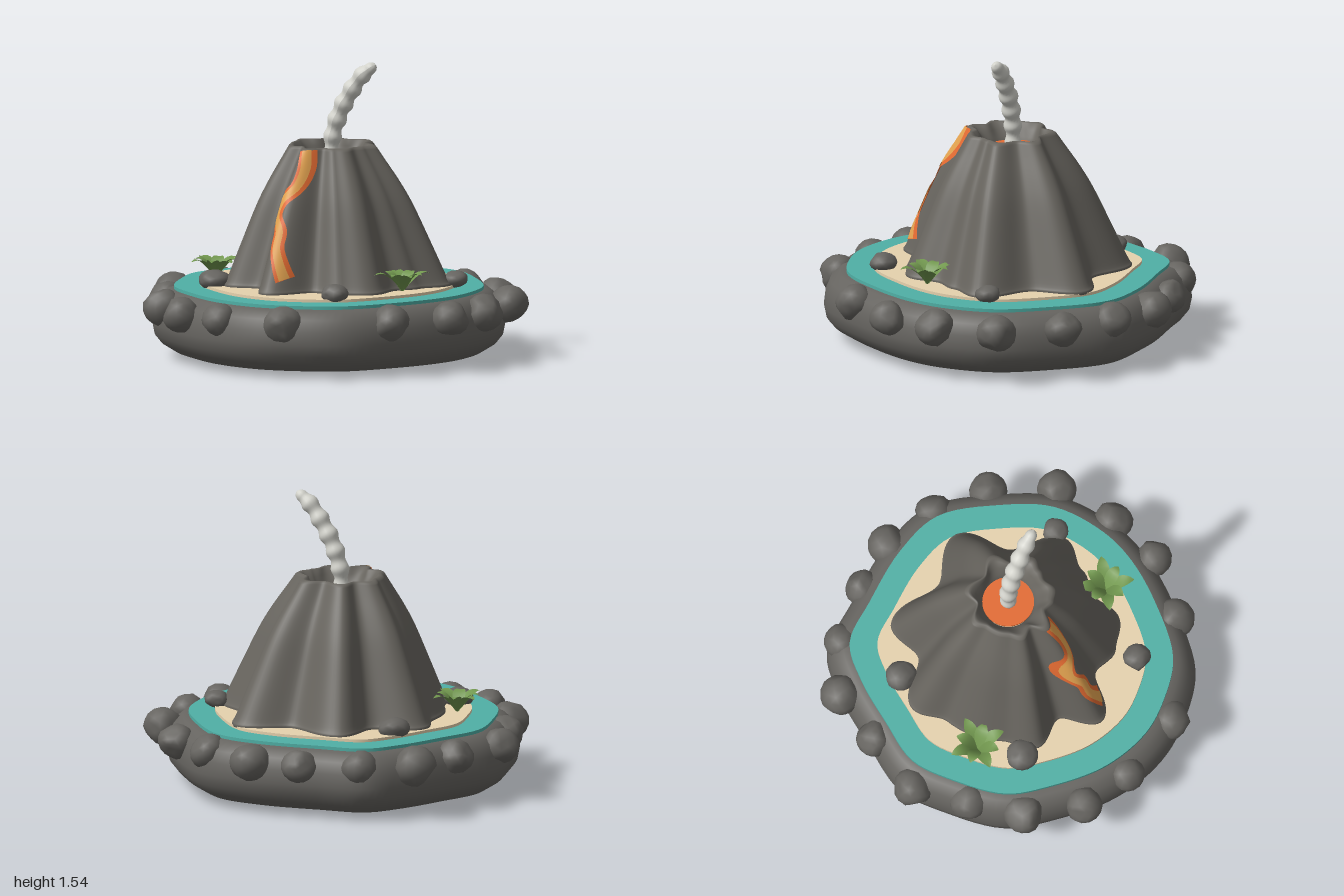
import * as THREE from 'three';
import { mergeVertices, toCreasedNormals } from 'three/addons/utils/BufferGeometryUtils.js';

const mat = (name, color, side = THREE.FrontSide) => {
  const m = new THREE.MeshStandardMaterial({ color, side });
  m.name = name;
  return m;
};

function seeded(seed) {
  let s = seed * 7919 + 13;
  return () => ((s = (s * 16807) % 2147483647) / 2147483647);
}

// Grid of rows of points -> indexed smooth geometry
function skin(rows) {
  const n = rows[0].length, idx = [];
  for (let i = 0; i < rows.length - 1; i++)
    for (let j = 0; j < n - 1; j++) {
      const a = i * n + j, b = a + n;
      idx.push(a, b, a + 1, a + 1, b, b + 1);
    }
  const g = new THREE.BufferGeometry().setFromPoints(rows.flat());
  g.setIndex(idx);
  g.computeVertexNormals();
  return g;
}

// Stack of scaled copies of a closed outline, bottom to top
function loft(outline, profile) {
  const n = outline.length, idx = [], pts = [];
  for (const [s, y] of profile) for (const p of outline) pts.push(new THREE.Vector3(p.x * s, y, p.z * s));
  for (let i = 0; i < profile.length - 1; i++)
    for (let j = 0; j < n; j++) {
      const k = (j + 1) % n, a = i * n, b = a + n;
      idx.push(a + j, b + j, a + k, a + k, b + j, b + k);
    }
  const g = new THREE.BufferGeometry().setFromPoints(pts);
  g.setIndex(idx);
  g.computeVertexNormals();
  return g;
}

// Lagoon outline, ordered from +x towards +z
const shore = new THREE.CatmullRomCurve3([
  [.795, 0], [.755, .21], [.64, .45], [.455, .70], [.24, .80], [.03, .835], [-.24, .775], [-.5, .61], [-.67, .45],
  [-.77, .19], [-.81, -.05], [-.72, -.29], [-.61, -.53], [-.48, -.70], [-.24, -.75], [.08, -.79], [.35, -.75],
  [.59, -.53], [.755, -.29],
].map(([x, z]) => new THREE.Vector3(x, 0, z)), true).getPoints(114).slice(0, -1);

// Mountain ridges and gullies: angle in degrees, radius at the foot
const ridges = [[-12, .65], [4, .55], [19, .5], [38, .57], [55, .53], [72, .45], [95, .615], [113, .46], [131, .57],
  [149, .52], [166, .53], [183, .53], [201, .62], [226, .49], [245, .64], [274, .51], [298, .68], [322, .53], [348, .65]];
function footRadius(angle) {
  let d = THREE.MathUtils.radToDeg(angle);
  while (d < -12) d += 360;
  while (d >= 348) d -= 360;
  const i = ridges.findIndex((r, k) => k > 0 && d <= r[0]);
  const [a0, r0] = ridges[i - 1], [a1, r1] = ridges[i];
  const t = (1 - Math.cos(Math.PI * (d - a0) / (a1 - a0))) / 2;
  return r0 + (r1 - r0) * t;
}
const slope = new THREE.SplineCurve([[1, .37], [1.01, .395], [.975, .43], [.85, .6], [.7, .8], [.59, .92], [.46, 1.04],
  [.395, 1.1]].map(p => new THREE.Vector2(...p))).getPoints(35);
function slopeAt(y) {
  const i = Math.max(1, slope.findIndex(p => p.y >= y));
  const a = slope[i - 1], b = slope[i];
  return a.x + (b.x - a.x) * THREE.MathUtils.clamp((y - a.y) / (b.y - a.y), 0, 1);
}

function mountainGeometry() {
  const rings = slope.map(p => [p.x, p.y, 0]);
  rings.push([.37, 1.11, .1], [.34, 1.106, .25], [.3, 1.075, .6], [.26, 1.04, .9], [.24, 1.02, 1], [.22, .99, 1]);
  const n = 180;
  const unit = Array.from({ length: n }, (_, j) => {
    const a = j / n * Math.PI * 2;
    return new THREE.Vector3(Math.cos(a), 0, Math.sin(a));
  });
  const g = loft(unit, rings);
  const p = g.attributes.position;
  // lobes fade to a round crater
  rings.forEach(([, , round], i) => {
    for (let j = 0; j < n; j++) {
      const k = i * n + j;
      const r = THREE.MathUtils.lerp(footRadius(j / n * Math.PI * 2), .58, round);
      p.setXYZ(k, p.getX(k) * r, p.getY(k), p.getZ(k) * r - .03 * round);
    }
  });
  g.computeVertexNormals();
  return g;
}

// Point on the front face of the mountain
function onSlope(x, y, lift) {
  let z = .4;
  for (let i = 0; i < 12; i++) {
    const r = footRadius(Math.atan2(z, x)) * slopeAt(y) + lift;
    z = (z + Math.sqrt(Math.max(r * r - x * x, .001))) / 2;
  }
  return new THREE.Vector3(x, y + lift * .5, z);
}
const streamPath = new THREE.CatmullRomCurve3([[0, 1.1], [.015, 1], [0, .92], [-.06, .85], [-.075, .78], [-.035, .7],
  [-.033, .62], [0, .53], [.03, .46]].map(([x, y]) => new THREE.Vector3(x, y, 0)));
function streamGeometry(width, lift) {
  const rows = [];
  for (let i = 0; i <= 70; i++) {
    const c = streamPath.getPoint(i / 70), t = streamPath.getTangent(i / 70);
    rows.push([-1, -.5, 0, .5, 1].map(k =>
      onSlope(c.x - t.y * k * width, Math.min(c.y + t.x * k * width, 1.1), lift)));
  }
  return skin(rows);
}

function rockGeometry(seed) {
  const rnd = seeded(seed);
  const g = new THREE.IcosahedronGeometry(1, 2);
  g.deleteAttribute('uv');
  g.deleteAttribute('normal');
  const rock = mergeVertices(g), p = rock.attributes.position, v = new THREE.Vector3();
  // a few random planes chip the ball
  const cuts = Array.from({ length: 9 }, () => [new THREE.Vector3(rnd() - .5, rnd() - .5, rnd() - .5).normalize(), .78 + rnd() * .14]);
  for (let i = 0; i < p.count; i++) {
    v.fromBufferAttribute(p, i);
    for (const [n, d] of cuts) {
      const over = v.dot(n) - d;
      if (over > 0) v.addScaledVector(n, -over);
    }
    p.setXYZ(i, v.x, v.y, v.z);
  }
  rock.computeVertexNormals();
  return rock;
}

// Puffy column: a tube whose radius swells and closes at the tip
function smokeGeometry() {
  const path = new THREE.CatmullRomCurve3([[0, 1.0], [.005, 1.14], [.045, 1.27], [.105, 1.38], [.17, 1.47], [.25, 1.535]]
    .map(([x, y], i) => new THREE.Vector3(x, y, -.028 - .004 * i)));
  const segs = 72, sides = 16;
  const g = new THREE.TubeGeometry(path, segs, 1, sides);
  const p = g.attributes.position, v = new THREE.Vector3();
  for (let i = 0; i <= segs; i++) {
    const t = i / segs, c = path.getPointAt(t);
    const end = Math.sqrt(Math.min(1, (1 - t) / .06));
    const r = (.03 + .016 * Math.sqrt(Math.sin(Math.PI * Math.min(t, .999))) - .006 * Math.cos(t * Math.PI * 13)) * end;
    for (let j = 0; j <= sides; j++) {
      const k = i * (sides + 1) + j;
      v.fromBufferAttribute(p, k).sub(c).multiplyScalar(r).add(c);
      p.setXYZ(k, v.x, v.y, v.z);
    }
  }
  g.computeVertexNormals();
  return g;
}

// Arched leaf with a folded midrib
function leafGeometry(length) {
  const rows = [];
  for (let i = 0; i <= 8; i++) {
    const t = i / 8, w = .034 * Math.pow(Math.sin(Math.PI * (.06 + .93 * t)), .8);
    const y = .095 * Math.sin(t * 1.9);
    rows.push([-1, 0, 1].map(k => new THREE.Vector3(t * length, y + Math.abs(k) * w * .2, k * w)));
  }
  return skin(rows);
}

export function createModel() {
  const model = new THREE.Group();
  model.name = 'volcanoIsland';
  const rockMat = mat('rock grey', 0x666460), mountainMat = mat('mountain grey', 0x67645e);
  const waterMat = mat('lagoon teal', 0x50b0a6), sandMat = mat('sand', 0xe6d2ae);
  const lavaMat = mat('lava orange', 0xe46b32, THREE.DoubleSide), glowMat = mat('lava amber', 0xe3a350, THREE.DoubleSide);
  const smokeMat = mat('smoke', 0xd2d2cb), leafMat = mat('leaf green', 0x72984f, THREE.DoubleSide);
  const add = (name, geo, m, parent = model) => {
    const mesh = new THREE.Mesh(geo, m);
    mesh.name = name;
    parent.add(mesh);
    return mesh;
  };

  // Island layers
  add('base', loft(shore, [[0, 0], [.35, 0], [.65, .002], [.99, .03], [1.08, .075], [1.125, .12], [1.14, .18], [1.13, .25],
    [1.1, .31], [1.04, .35], [.97, .36], [0, .36]]), rockMat);
  const plate = (s, y0, y1) => toCreasedNormals(loft(shore, [[s, y0], [s, y1], [0, y1]]), .7);
  add('lagoon', plate(1, .35, .373), waterMat);
  add('beach', plate(.83, .36, .388), sandMat);

  // Mountain and lava
  add('mountain', mountainGeometry(), mountainMat);
  const pool = add('lavaPool', new THREE.CylinderGeometry(.135, .135, .01, 40), lavaMat);
  pool.position.set(0, 1.022, -.03);
  add('lavaStream', streamGeometry(.037, .006), lavaMat);
  add('lavaStreamGlow', streamGeometry(.02, .010), glowMat);
  add('smoke', smokeGeometry(), smokeMat);

  // Boulders: x, z, size
  const boulders = (name, list, y, squash) => list.forEach(([x, z, s], i) => {
    const rock = add(name, rockGeometry(i + 3 + Math.round(y * 100)), rockMat);
    rock.position.set(x, y, z);
    rock.scale.set(s, s * squash, s);
    rock.rotation.y = i * 1.3;
  });
  boulders('rimBoulder', [[.1, -.88, .108], [-.17, -.85, .095], [-.47, -.75, .1], [-.71, -.58, .115], [-.8, -.3, .1],
    [-.9, .02, .105], [-.79, .3, .1], [-.67, .57, .11], [-.45, .79, .1], [-.18, .87, .095], [.2, .88, .105],
    [.465, .69, .075], [.66, .56, .105], [.86, .27, .1], [.905, -.02, .105], [.87, -.36, .105], [.65, -.64, .1],
    [.38, -.79, .105]], .28, .95);
  boulders('beachBoulder', [[-.48, -.37, .085], [.64, -.2, .07], [-.46, .4, .085], [.33, .56, .075]], .415, .66);

  // Plants
  for (const [x, z, turn] of [[-.565, .19, .3], [.54, .2, 0]]) {
    const plant = new THREE.Group();
    plant.name = 'plant';
    plant.position.set(x, .395, z);
    for (let i = 0; i < 8; i++) {
      const leaf = add('leaf', leafGeometry(.115 + .035 * (i % 2)), leafMat, plant);
      leaf.rotation.y = turn + i * Math.PI / 4;
    }
    model.add(plant);
  }
  return model;
}
